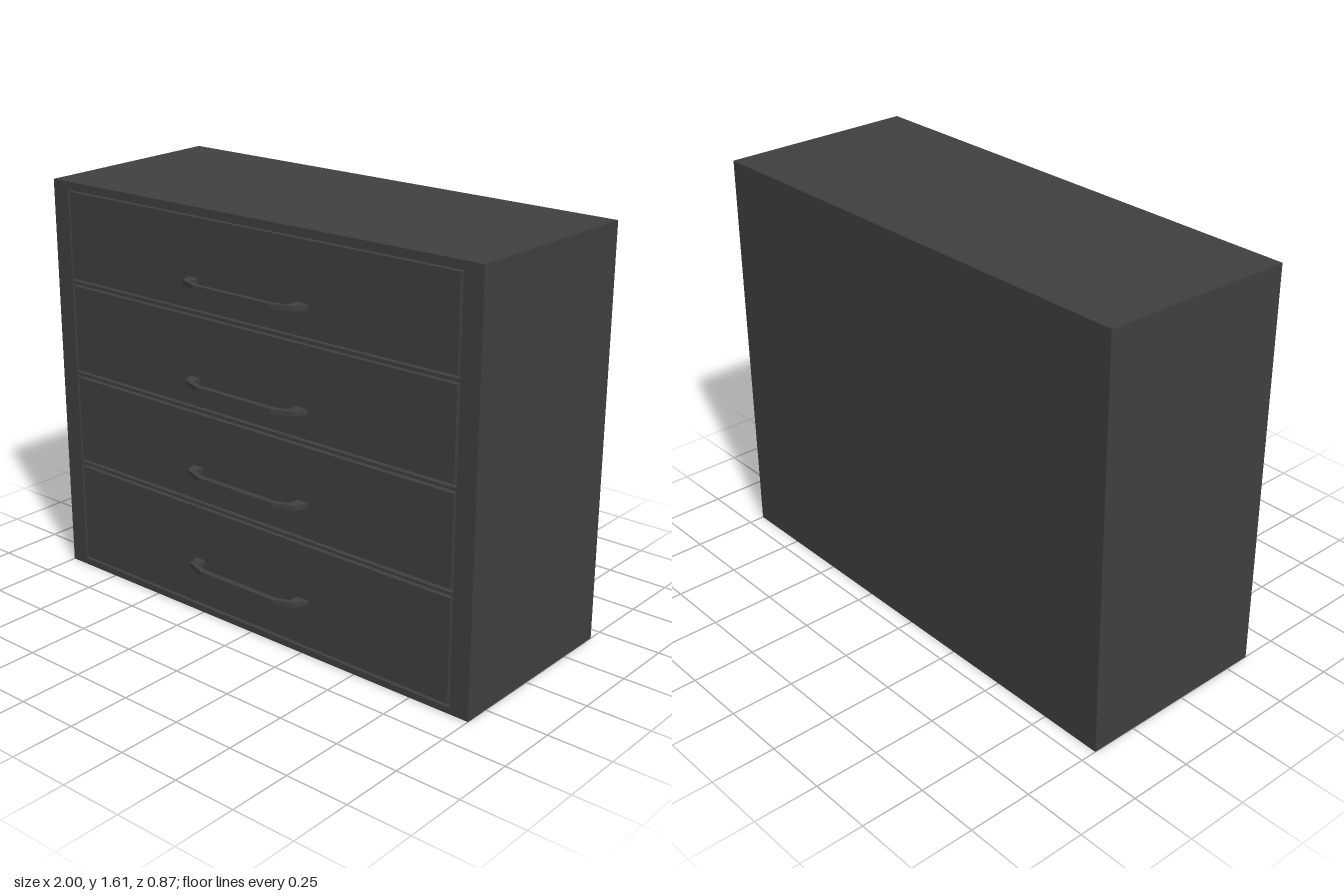
import * as THREE from 'three';

const FRONT = 0.355, BACK = -0.436, HEIGHT = 1.597, GROOVE = 0.02, GAP = 0.011;
const OPENING = 0.922; // half width of each drawer opening

// bottom, top and handle height of each drawer opening
const DRAWERS = [
  [0.025, 0.447, 0.215],
  [0.458, 0.825, 0.597],
  [0.836, 1.2, 0.95],
  [1.21, 1.57, 1.328],
];

const material = new THREE.MeshStandardMaterial({ color: 0x404040 });

function addMesh(parent, name, geometry) {
  const mesh = new THREE.Mesh(geometry, material);
  mesh.name = name;
  parent.add(mesh);
  return mesh;
}

function rectangle(Type, x0, y0, x1, y1) {
  return new Type([[x0, y0], [x1, y0], [x1, y1], [x0, y1]].map(([x, y]) => new THREE.Vector2(x, y)));
}

// Angular bow handle, drawn from above and mirrored
function handleGeometry(thickness) {
  const outer = [[0.283, FRONT], [0.266, 0.405], [0.18, 0.436]];
  const inner = [[0.18, 0.414], [0.23, 0.397], [0.235, FRONT]];
  const mirror = (points) => points.map(([x, z]) => [-x, z]).reverse();
  const outline = [...outer, ...mirror(outer), ...mirror(inner), ...inner];
  const shape = new THREE.Shape(outline.map(([x, z]) => new THREE.Vector2(x, z)));
  const geometry = new THREE.ExtrudeGeometry(shape, { depth: thickness, bevelEnabled: false });
  return geometry.rotateX(Math.PI / 2).translate(0, thickness / 2, 0);
}

export function createModel() {
  const chest = new THREE.Group();
  chest.name = 'chestOfDrawers';

  // Cabinet body, with its back right top corner slightly raised
  const depth = FRONT - GROOVE - BACK;
  const body = new THREE.BoxGeometry(2, HEIGHT, depth);
  body.translate(0, HEIGHT / 2, BACK + depth / 2);
  const p = body.attributes.position;
  for (let i = 0; i < p.count; i++) {
    if (p.getX(i) < 0 && p.getY(i) > 1 && p.getZ(i) < 0) p.setY(i, 1.614);
  }
  body.computeVertexNormals();
  addMesh(chest, 'cabinetBody', body);

  // Front frame with one opening per drawer
  const frame = rectangle(THREE.Shape, -1, 0, 1, HEIGHT);
  for (const [y0, y1] of DRAWERS) {
    frame.holes.push(rectangle(THREE.Path, -OPENING, y0, OPENING, y1));
  }
  const frameGeometry = new THREE.ExtrudeGeometry(frame, { depth: GROOVE, bevelEnabled: false });
  addMesh(chest, 'frontFrame', frameGeometry.translate(0, 0, FRONT - GROOVE));

  // Drawer fronts, flush with the frame and set off by a narrow groove
  const handle = handleGeometry(0.018);
  DRAWERS.forEach(([y0, y1, handleY], i) => {
    const drawer = new THREE.Group();
    drawer.name = `drawer${i + 1}`;
    const panel = new THREE.BoxGeometry(2 * (OPENING - GAP), y1 - y0 - 2 * GAP, GROOVE);
    addMesh(drawer, 'drawerFront', panel).position.set(0, (y0 + y1) / 2, FRONT - GROOVE / 2);
    addMesh(drawer, 'drawerHandle', handle).position.y = handleY;
    chest.add(drawer);
  });

  return chest;
}
